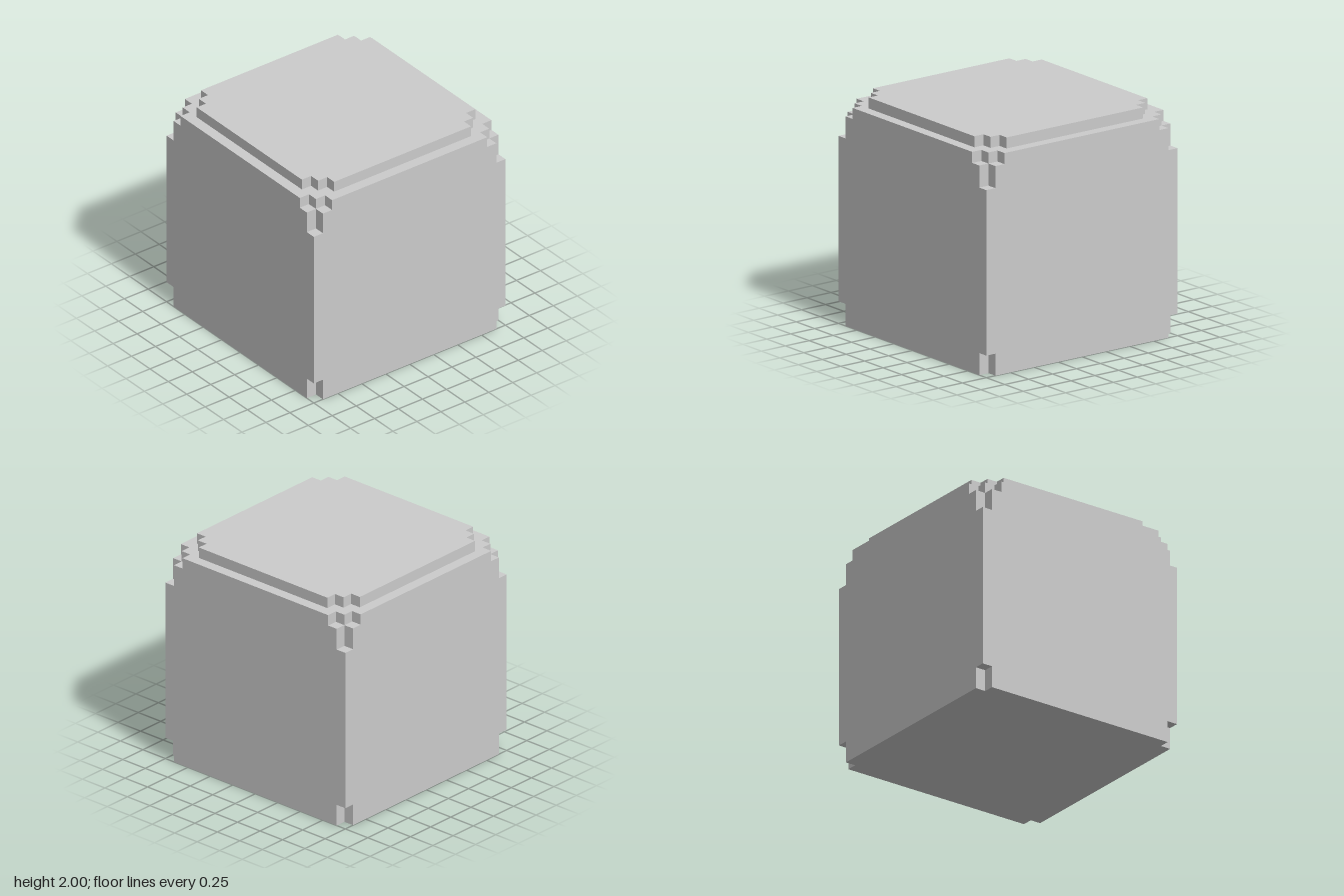
import * as THREE from 'three';

// The block sits on a grid of 21 cells per side.
const CELL = 2 / 21;

// Square outline of the given half width (in cells), each corner cut back in single-cell steps.
function steppedSquare(half, steps) {
  const corner = [[half, half - steps]];
  for (let i = 1; i <= steps; i++) {
    corner.push([half - i, half - steps + i - 1], [half - i, half - steps + i]);
  }
  const points = [];
  for (let turn = 0; turn < 4; turn++) {
    for (const [x, y] of corner) {
      const [px, py] = [[x, y], [-y, x], [-x, -y], [y, -x]][turn];
      points.push(new THREE.Vector2(px * CELL, py * CELL));
    }
  }
  return new THREE.Shape(points);
}

export function createModel() {
  const group = new THREE.Group();
  group.name = 'steppedBlock';
  const material = new THREE.MeshStandardMaterial({ color: 0xcccccc, flatShading: true });

  // Stacked layers: bottom and top in cells, half width, corner steps
  const layers = [
    { name: 'notchedBase', from: 0, to: 2, half: 10.5, steps: 1 },
    { name: 'mainBody', from: 2, to: 17, half: 10.5, steps: 0 },
    { name: 'notchedShoulder', from: 17, to: 19, half: 10.5, steps: 1 },
    { name: 'steppedRim', from: 19, to: 20, half: 10.5, steps: 2 },
    { name: 'topCap', from: 20, to: 21, half: 9.5, steps: 2 },
  ];

  for (const { name, from, to, half, steps } of layers) {
    const geometry = new THREE.ExtrudeGeometry(steppedSquare(half, steps), {
      depth: (to - from) * CELL,
      bevelEnabled: false,
    });
    geometry.rotateX(-Math.PI / 2);
    const mesh = new THREE.Mesh(geometry, material);
    mesh.name = name;
    mesh.position.y = from * CELL;
    group.add(mesh);
  }
  return group;
}
